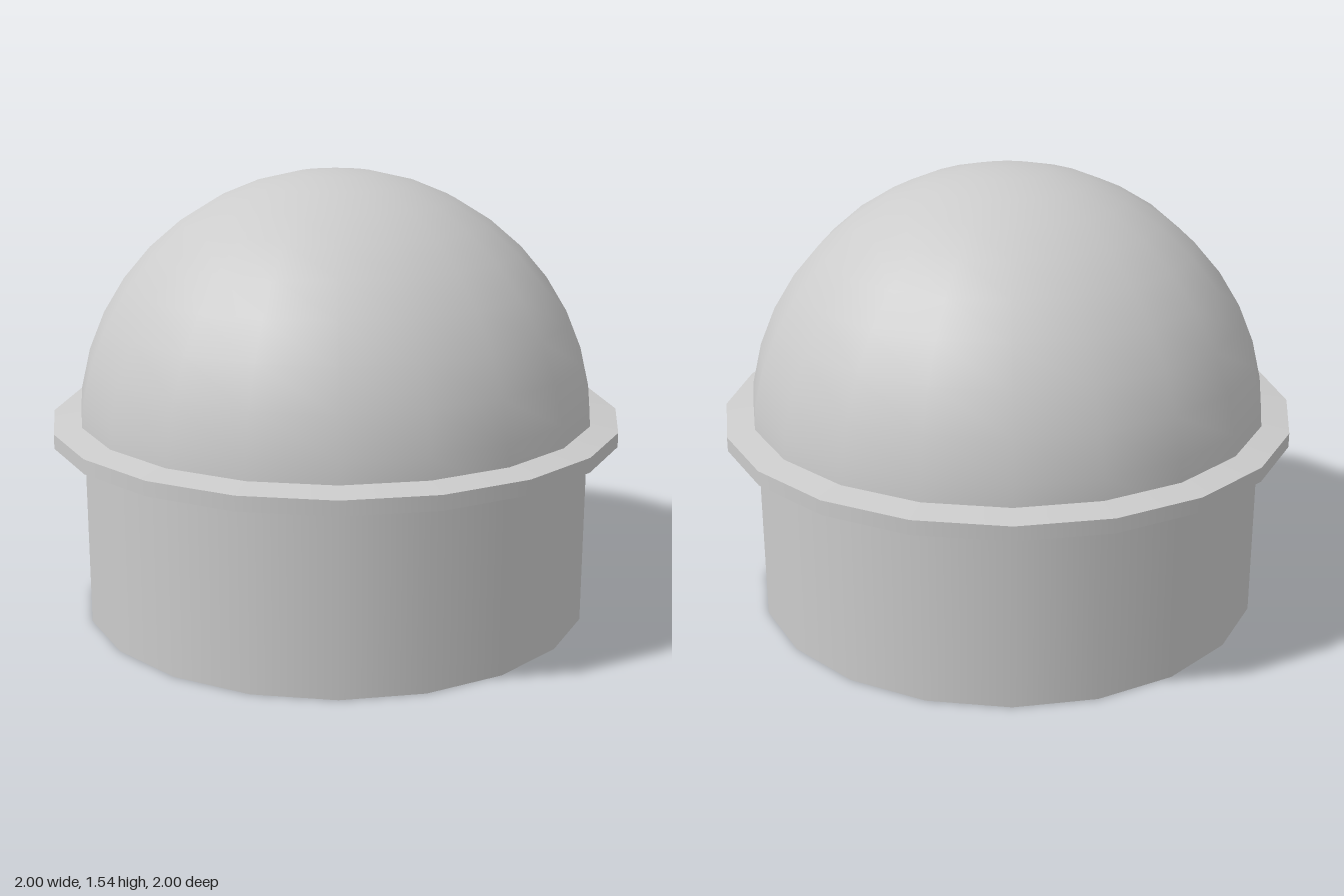
import * as THREE from 'three';
import { mergeGeometries } from 'three/addons/utils/BufferGeometryUtils.js';

const SIDES = 20;

// Open band between two radii, smooth around and sharp at its rims
function band([r0, y0], [r1, y1]) {
  return new THREE.CylinderGeometry(r1, r0, y1 - y0, SIDES, 1, true).translate(0, (y0 + y1) / 2, 0);
}

export function createModel() {
  const group = new THREE.Group();
  const material = new THREE.MeshStandardMaterial({ color: 0xcccccc });
  const add = (name, geometry) => {
    const mesh = new THREE.Mesh(geometry, material);
    mesh.name = name;
    group.add(mesh);
  };

  // Cylindrical body, closed at both ends
  add('base', new THREE.CylinderGeometry(0.897, 0.897, 0.665, SIDES).translate(0, 0.3325, 0));

  // Thin flange with bevelled upper and lower faces
  const profile = [[0.89, 0.622], [1, 0.64], [1, 0.69], [0.89, 0.707]];
  add('flange', mergeGeometries(profile.slice(1).map((p, i) => band(profile[i], p))));

  // Hemispherical cap
  add('dome', new THREE.SphereGeometry(0.91, SIDES, 10, 0, Math.PI * 2, 0, Math.PI / 2).translate(0, 0.633, 0));

  return group;
}
